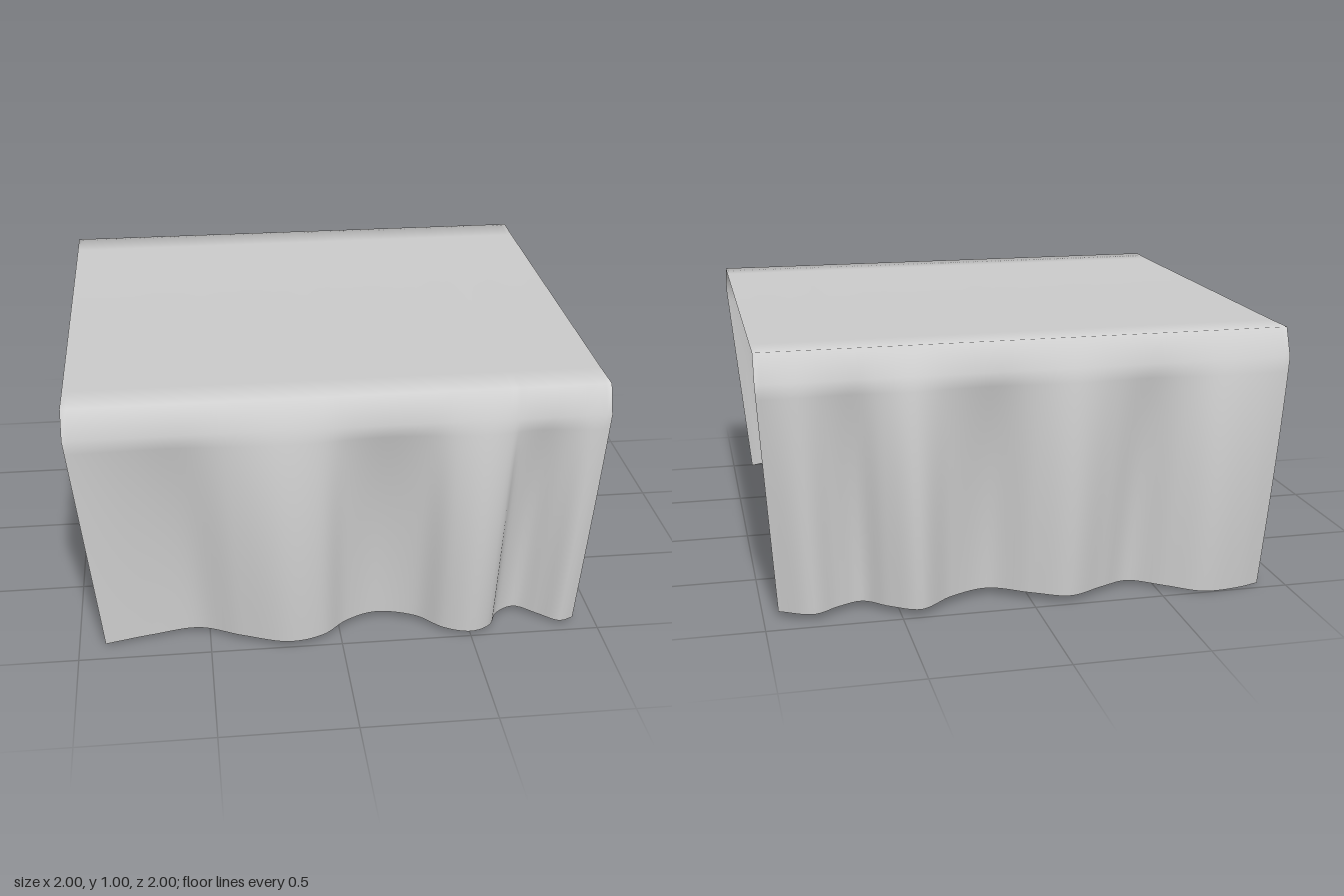
import * as THREE from 'three';

// Hem lines seen from above, as [x, z distance from centre, y]
const frontHem = [
  [-0.9, 0.92, 0.02], [-0.72, 0.885, 0.025], [-0.54, 0.865, 0.03], [-0.38, 0.94, 0.035],
  [-0.2, 1.0, 0.035], [-0.07, 0.975, 0.04], [0.03, 0.89, 0.04], [0.15, 0.845, 0.04],
  [0.3, 0.88, 0.035], [0.4, 0.965, 0.03], [0.5, 1.0, 0.03], [0.58, 0.965, 0.03],
  [0.62, 0.89, 0.03], [0.7, 0.85, 0.03], [0.78, 0.9, 0.025], [0.86, 0.96, 0.025], [0.915, 0.94, 0.025],
];
const backHem = [
  [-0.9, 0.955, 0.01], [-0.8, 0.985, 0.01], [-0.66, 1.0, 0.015], [-0.53, 0.94, 0.025],
  [-0.4, 0.87, 0.03], [-0.28, 0.92, 0.035], [-0.14, 0.98, 0.035], [0.0, 0.93, 0.04],
  [0.15, 0.85, 0.04], [0.3, 0.9, 0.04], [0.43, 0.985, 0.035], [0.54, 0.93, 0.035],
  [0.63, 0.86, 0.035], [0.72, 0.89, 0.035], [0.82, 0.945, 0.035], [0.945, 0.89, 0.035],
];

const COLS = 100;   // divisions across the cloth
const DROP = 16;    // divisions down each hanging side

// Rows of points for one hanging side, from the hem up to the table edge
function sideRows(hem, sign) {
  const curve = new THREE.CatmullRomCurve3(hem.map(([x, z, y]) => new THREE.Vector3(x, y, z)));
  const points = curve.getSpacedPoints(COLS);
  const x0 = points[0].x, x1 = points[COLS].x;
  const rows = [];
  for (let r = 0; r <= DROP; r++) {
    const t = 1 - r / DROP;                      // 1 at the hem, 0 at the bend
    const flare = 1 - Math.pow(1 - t, 2.5);      // folds open quickly, then hang straight
    rows.push(points.map((p) => {
      const top = -1 + 2 * (p.x - x0) / (x1 - x0);
      return [
        THREE.MathUtils.lerp(top, p.x, t),
        THREE.MathUtils.lerp(0.9, p.y, t),
        sign * THREE.MathUtils.lerp(0.922, p.z, flare),
      ];
    }));
  }
  // Rounded table edge, then the start of the flat top
  for (const [y, z] of [[1.007, 0.88], [1.005, 0.74]]) {
    rows.push(rows[DROP].map(([x]) => [x, y, sign * z]));
  }
  return rows;
}

export function createModel() {
  const group = new THREE.Group();
  group.name = 'tablecloth';

  // One continuous sheet: back hem, over the top, down to the front hem
  const rows = [...sideRows(backHem, -1), ...sideRows(frontHem, 1).reverse()];
  const geometry = new THREE.PlaneGeometry(1, 1, COLS, rows.length - 1);
  const position = geometry.attributes.position;
  rows.flat().forEach(([x, y, z], i) => position.setXYZ(i, x, y, z));
  geometry.computeVertexNormals();

  const material = new THREE.MeshStandardMaterial({ color: 0xcccccc, side: THREE.DoubleSide });
  const cloth = new THREE.Mesh(geometry, material);
  cloth.name = 'drapedCloth';
  group.add(cloth);
  return group;
}
